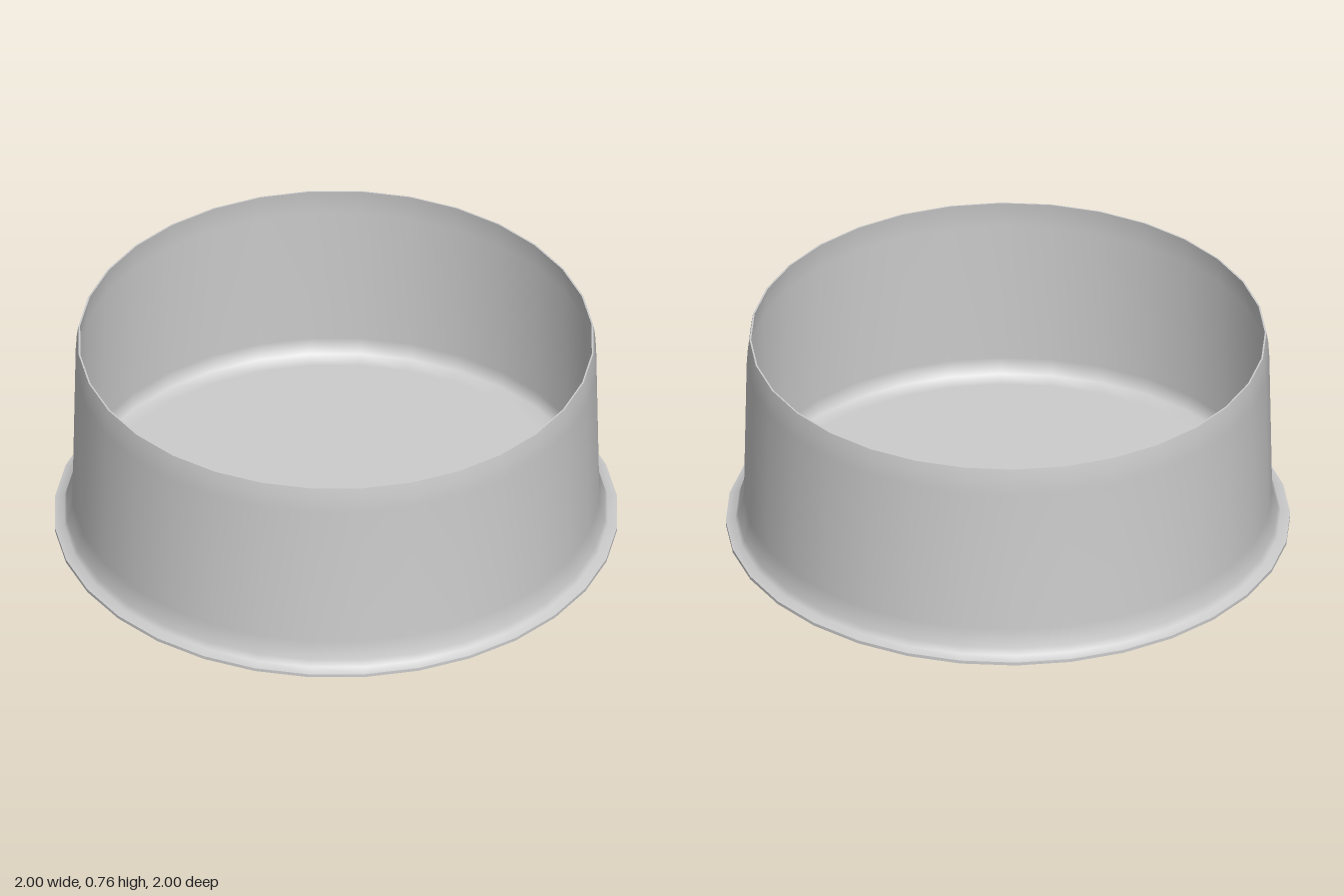
import * as THREE from 'three';

const SEGMENTS = 32;

export function createModel() {
  const group = new THREE.Group();
  group.name = 'roundCap';
  const material = new THREE.MeshStandardMaterial({ color: 0xcccccc, side: THREE.DoubleSide });

  // Revolves a profile of [radius, height] pairs around the y axis
  const addLathe = (name, profile) => {
    const points = profile.map(([r, y]) => new THREE.Vector2(r, y));
    const mesh = new THREE.Mesh(new THREE.LatheGeometry(points, SEGMENTS), material);
    mesh.name = name;
    group.add(mesh);
  };

  // Recessed underside, running out to the edge of the flange
  addLathe('underside', [[0, 0.036], [0.86, 0.036], [0.948, 0.036], [0.958, 0.018]]);
  addLathe('flangeUnderside', [[0.958, 0.018], [0.97, 0.008], [1, 0]]);
  addLathe('flangeEdge', [[1, 0], [1, 0.012]]);

  // Flange top flaring up into the slightly tapered wall and rounded shoulder
  addLathe('outerWall', [
    [1, 0.012], [0.966, 0.02], [0.957, 0.045], [0.936, 0.11],
    [0.926, 0.66], [0.922, 0.72], [0.916, 0.76],
  ]);

  // Thin rim, inside of the wall and the floor
  addLathe('rim', [[0.916, 0.76], [0.91, 0.76]]);
  addLathe('innerWallAndFloor', [
    [0.91, 0.76], [0.916, 0.72], [0.92, 0.66], [0.93, 0.11],
    [0.926, 0.045], [0.86, 0.042], [0, 0.042],
  ]);

  return group;
}
